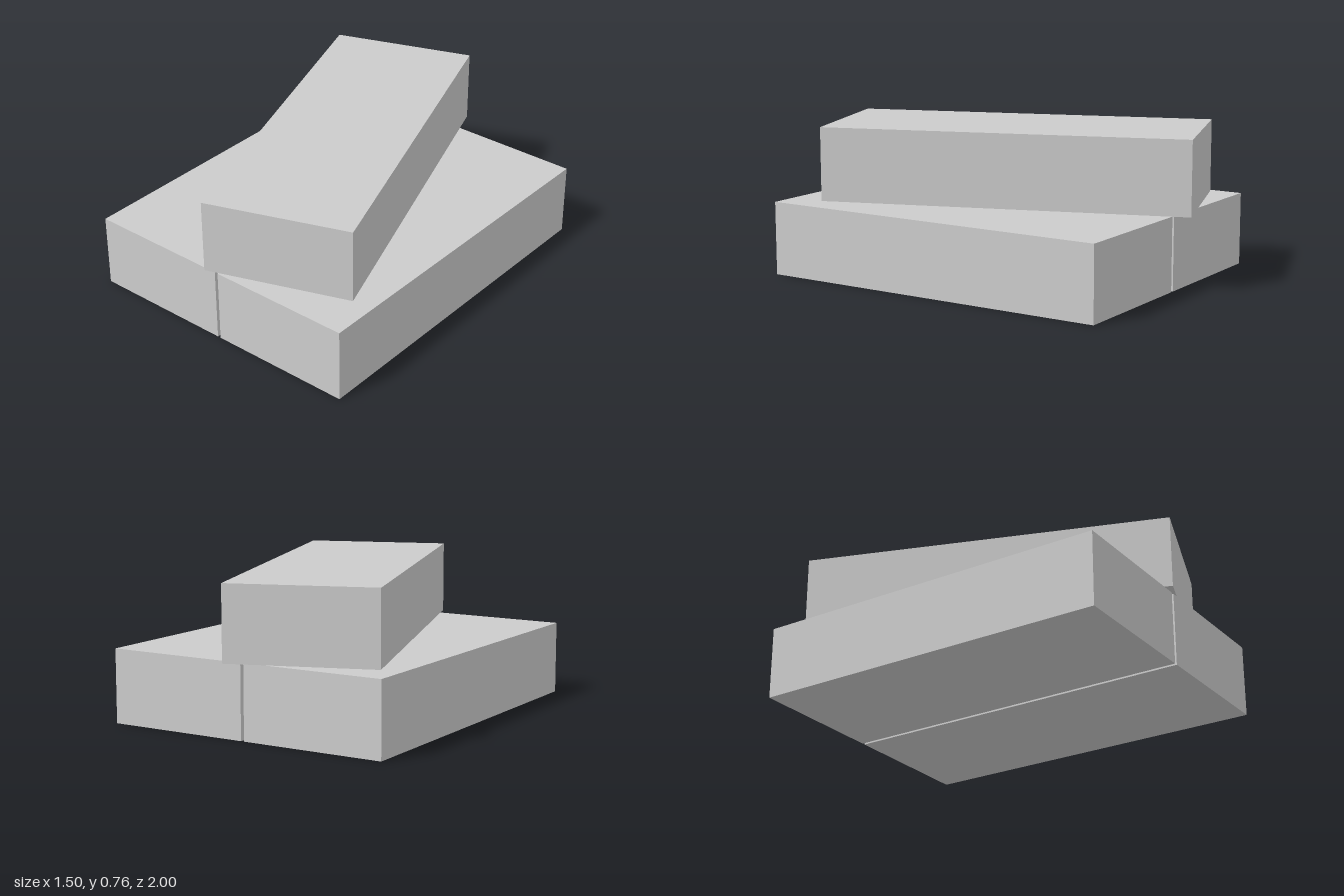
import * as THREE from 'three';

export function createModel() {
  const model = new THREE.Group();
  const material = new THREE.MeshStandardMaterial({ color: 0xcccccc, flatShading: true });

  // All three blocks share the same size
  const width = 0.742, height = 0.373, length = 1.857;
  const geometry = new THREE.BoxGeometry(width, height, length);

  function addBlock(name, x, bottom, z, turn = 0) {
    const block = new THREE.Mesh(geometry, material);
    block.name = name;
    block.position.set(x, bottom + height / 2, z);
    block.rotation.y = turn;
    model.add(block);
  }

  // Two blocks side by side with a narrow gap
  addBlock('lowerRightBlock', -0.38, 0, 0.042);
  addBlock('lowerLeftBlock', 0.379, 0, 0.042);

  // Third block resting askew just above them
  addBlock('upperBlock', -0.009, 0.384, 0, THREE.MathUtils.degToRad(19.5));

  return model;
}
